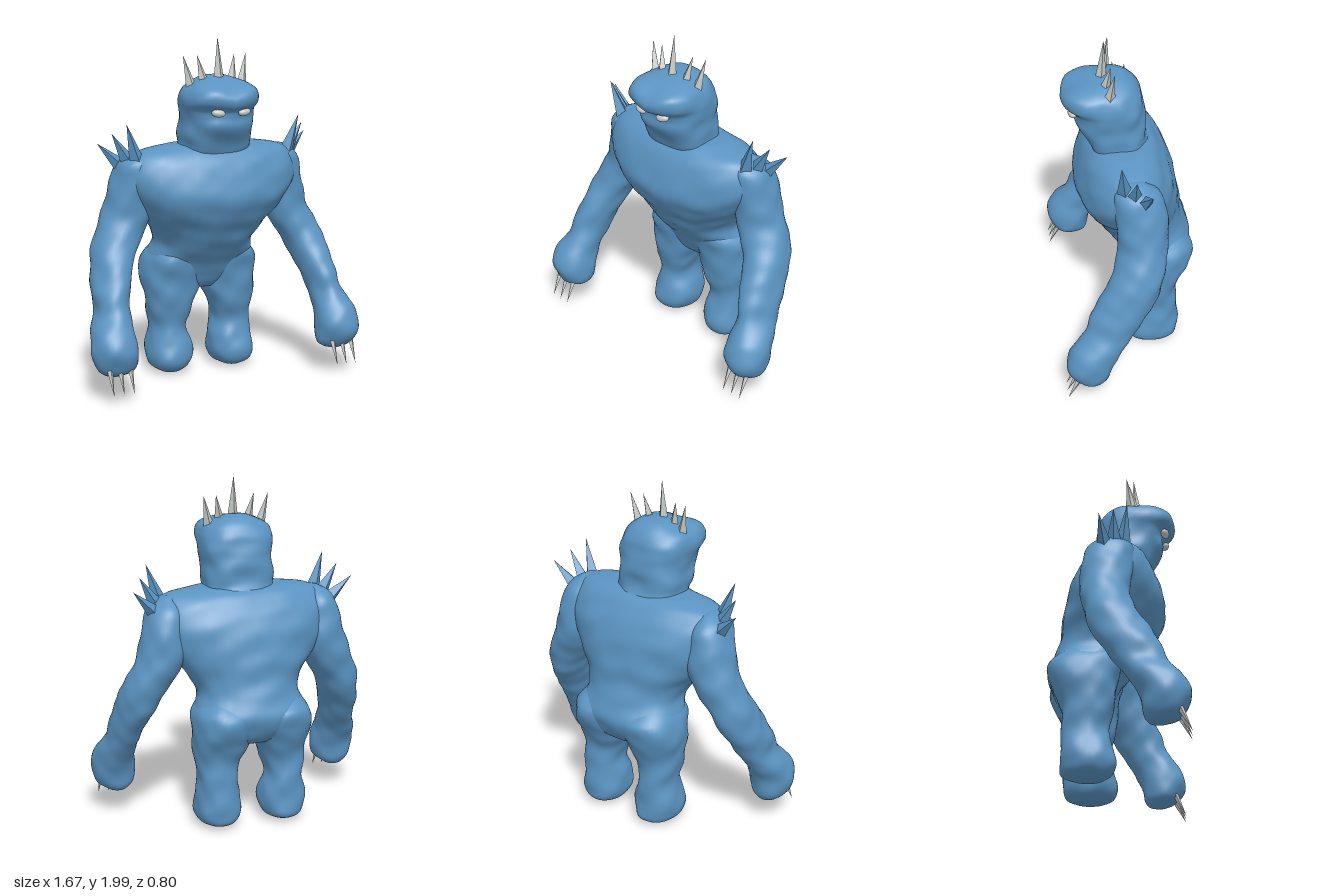
import * as THREE from 'three';

const SEGMENTS = 40;

// Small rock-like swellings, as a function of position
const lump = (x, y, z) =>
  0.005 * Math.sin(23 * x + 9 * y + 1) * Math.sin(21 * y + 7 * z) +
  0.004 * Math.sin(37 * z + 17 * x) * Math.cos(33 * y - 11 * x);

// Lofts rounded horizontal rings; a section is [y, xMin, xMax, zBack, zFront], bottom to top
function loft(sections, rings, power = 2, shape = null) {
  const channel = (k) => {
    const v = sections.map((s) => s[k]);
    return (t) => {
      const f = t * (v.length - 1);
      const i = Math.min(Math.floor(f), v.length - 2);
      const u = f - i;
      const p0 = v[Math.max(i - 1, 0)], p1 = v[i], p2 = v[i + 1];
      const p3 = v[Math.min(i + 2, v.length - 1)];
      return p1 + 0.5 * u * (p2 - p0 + u * (2 * p0 - 5 * p1 + 4 * p2 - p3 + u * (3 * (p1 - p2) + p3 - p0)));
    };
  };
  const get = [0, 1, 2, 3, 4].map(channel);
  const positions = [], indices = [];
  const round = (c) => Math.sign(c) * Math.pow(Math.abs(c), 2 / power);
  const point = new THREE.Vector3();
  for (let i = 0; i <= rings; i++) {
    const [y, x0, x1, z0, z1] = get.map((g) => g(i / rings));
    for (let j = 0; j < SEGMENTS; j++) {
      const a = (j / SEGMENTS) * Math.PI * 2;
      const c = round(Math.cos(a)), s = round(Math.sin(a));
      point.set((x0 + x1) / 2 + c * (x1 - x0) / 2, y, (z0 + z1) / 2 + s * (z1 - z0) / 2);
      const d = lump(point.x, point.y, point.z);
      point.x += c * d;
      point.z += s * d;
      if (shape) shape(point);
      positions.push(point.x, point.y, point.z);
    }
  }
  for (let i = 0; i < rings; i++) {
    for (let j = 0; j < SEGMENTS; j++) {
      const a = i * SEGMENTS + j, b = i * SEGMENTS + (j + 1) % SEGMENTS;
      indices.push(a, a + SEGMENTS, b, b, a + SEGMENTS, b + SEGMENTS);
    }
  }
  // Close both ends
  for (const [ring, top] of [[0, false], [rings, true]]) {
    const [y, x0, x1, z0, z1] = get.map((g) => g(ring / rings));
    const centre = positions.length / 3;
    positions.push((x0 + x1) / 2, y + (top ? 0.008 : -0.008), (z0 + z1) / 2);
    for (let j = 0; j < SEGMENTS; j++) {
      const a = ring * SEGMENTS + j, b = ring * SEGMENTS + (j + 1) % SEGMENTS;
      indices.push(centre, top ? b : a, top ? a : b);
    }
  }
  const geometry = new THREE.BufferGeometry();
  geometry.setAttribute('position', new THREE.Float32BufferAttribute(positions, 3));
  geometry.setIndex(indices);
  geometry.computeVertexNormals();
  return geometry;
}

// Four-sided faceted spike from base to tip
function spike(base, tip, radius) {
  const from = new THREE.Vector3(...base), to = new THREE.Vector3(...tip);
  const axis = to.clone().sub(from);
  const geometry = new THREE.ConeGeometry(radius, axis.length(), 4).toNonIndexed();
  geometry.computeVertexNormals();
  geometry.applyQuaternion(new THREE.Quaternion().setFromUnitVectors(new THREE.Vector3(0, 1, 0), axis.normalize()));
  const mid = from.add(to).multiplyScalar(0.5);
  return geometry.translate(mid.x, mid.y, mid.z);
}

const mirrorSections = (sections, side) =>
  side > 0 ? sections : sections.map(([y, a, b, c, d]) => [y, -b, -a, c, d]);

export function createModel() {
  const model = new THREE.Group();
  const skin = new THREE.MeshStandardMaterial({ color: 0x5b94c2 });
  skin.name = 'blue skin';
  const bone = new THREE.MeshStandardMaterial({ color: 0xc6cbc6 });
  bone.name = 'pale bone';
  const add = (name, geometry, material) => {
    const mesh = new THREE.Mesh(geometry, material);
    mesh.name = name;
    model.add(mesh);
    return mesh;
  };

  // Torso: hips, waist, heavy chest and sloping shoulders
  add('torso', loft([
    [0.52, -0.18, 0.18, -0.29, -0.07],
    [0.56, -0.26, 0.26, -0.34, -0.03],
    [0.62, -0.31, 0.31, -0.375, 0],
    [0.70, -0.325, 0.325, -0.395, 0.05],
    [0.80, -0.295, 0.295, -0.36, 0.13],
    [0.90, -0.34, 0.34, -0.33, 0.19],
    [1.00, -0.42, 0.42, -0.32, 0.25],
    [1.10, -0.49, 0.49, -0.30, 0.28],
    [1.20, -0.53, 0.53, -0.275, 0.26],
    [1.30, -0.51, 0.51, -0.22, 0.22],
    [1.36, -0.44, 0.44, -0.17, 0.17],
    [1.39, -0.28, 0.28, -0.12, 0.12],
  ], 66, 2.2), skin);

  // Head with a jutting brow that dips in the middle
  add('head', loft([
    [1.32, -0.21, 0.21, -0.17, 0.17],
    [1.39, -0.20, 0.20, -0.135, 0.20],
    [1.45, -0.205, 0.205, -0.125, 0.235],
    [1.51, -0.20, 0.20, -0.13, 0.27],
    [1.56, -0.205, 0.205, -0.125, 0.27],
    [1.60, -0.21, 0.21, -0.12, 0.28],
    [1.64, -0.215, 0.215, -0.11, 0.33],
    [1.68, -0.21, 0.21, -0.10, 0.345],
    [1.72, -0.19, 0.19, -0.08, 0.325],
    [1.75, -0.145, 0.145, -0.055, 0.27],
    [1.78, -0.07, 0.07, -0.01, 0.12],
  ], 60, 2.6, (p) => {
    if (p.z > 0.2 && p.y > 1.59) {
      const front = Math.min((p.z - 0.2) / 0.1, 1) * Math.min((p.y - 1.59) / 0.05, 1);
      p.y -= 0.022 * front * Math.max(0, 1 - Math.abs(p.x) / 0.14);
    }
  }), skin);

  // Crown spikes
  add('crownSpikeCentre', spike([0, 1.73, 0.12], [0, 2, 0.1], 0.036), bone);

  const armSections = [
    [0.158, 0.64, 0.75, 0.18, 0.29],
    [0.20, 0.585, 0.805, 0.15, 0.36],
    [0.30, 0.57, 0.835, 0.13, 0.40],
    [0.40, 0.585, 0.815, 0.075, 0.37],
    [0.50, 0.58, 0.77, 0, 0.29],
    [0.60, 0.555, 0.765, -0.06, 0.25],
    [0.70, 0.52, 0.745, -0.13, 0.20],
    [0.80, 0.475, 0.725, -0.16, 0.14],
    [0.90, 0.41, 0.69, -0.18, 0.10],
    [1.00, 0.36, 0.645, -0.20, 0.08],
    [1.10, 0.34, 0.615, -0.20, 0.09],
    [1.20, 0.34, 0.59, -0.19, 0.10],
    [1.30, 0.36, 0.555, -0.15, 0.10],
    [1.355, 0.41, 0.48, -0.07, 0.04],
  ];
  const legSections = [
    [0.018, 0.14, 0.26, -0.24, -0.07],
    [0.05, 0.09, 0.31, -0.30, -0.02],
    [0.11, 0.065, 0.33, -0.31, 0],
    [0.20, 0.07, 0.325, -0.305, -0.02],
    [0.30, 0.095, 0.31, -0.305, -0.045],
    [0.40, 0.07, 0.33, -0.295, -0.02],
    [0.50, 0.025, 0.34, -0.33, -0.005],
    [0.60, 0, 0.35, -0.375, 0.005],
    [0.70, 0, 0.335, -0.385, 0.03],
    [0.78, 0.05, 0.27, -0.30, 0.02],
  ];

  for (const side of [1, -1]) {
    const name = side > 0 ? 'left' : 'right';
    add(`${name}Arm`, loft(mirrorSections(armSections, side), 70), skin);
    add(`${name}Leg`, loft(mirrorSections(legSections, side), 50, 2.3), skin);

    // Eye: flattened, outer corner raised
    const eye = add(`${name}Eye`, new THREE.SphereGeometry(1, 20, 12), bone);
    eye.scale.set(0.04, 0.022, 0.024);
    eye.position.set(side * 0.08, 1.592, 0.285);
    eye.rotation.set(0, side * 0.2, side * 0.12);

    // Paired crown spikes
    add(`${name}CrownSpikeInner`, spike([side * 0.08, 1.715, 0.11], [side * 0.115, 1.9, 0.075], 0.036), bone);
    add(`${name}CrownSpikeOuter`, spike([side * 0.15, 1.695, 0.09], [side * 0.195, 1.9, 0.06], 0.036), bone);

    // Shoulder spikes fanning outward
    [
      [[0.47, 1.31, 0.04], [0.54, 1.53, 0.065]],
      [[0.50, 1.30, -0.01], [0.6, 1.47, -0.01]],
      [[0.52, 1.27, -0.06], [0.66, 1.41, -0.09]],
    ].forEach(([b, t], i) => add(`${name}ShoulderSpike${i + 1}`,
      spike([side * b[0], b[1], b[2]], [side * t[0], t[1], t[2]], 0.046), skin));

    // Claws
    [0.64, 0.7, 0.76].forEach((x, i) => add(`${name}Claw${i + 1}`,
      spike([side * x, 0.215, 0.335], [side * x, 0.08, 0.4], 0.017), bone));
  }
  return model;
}
